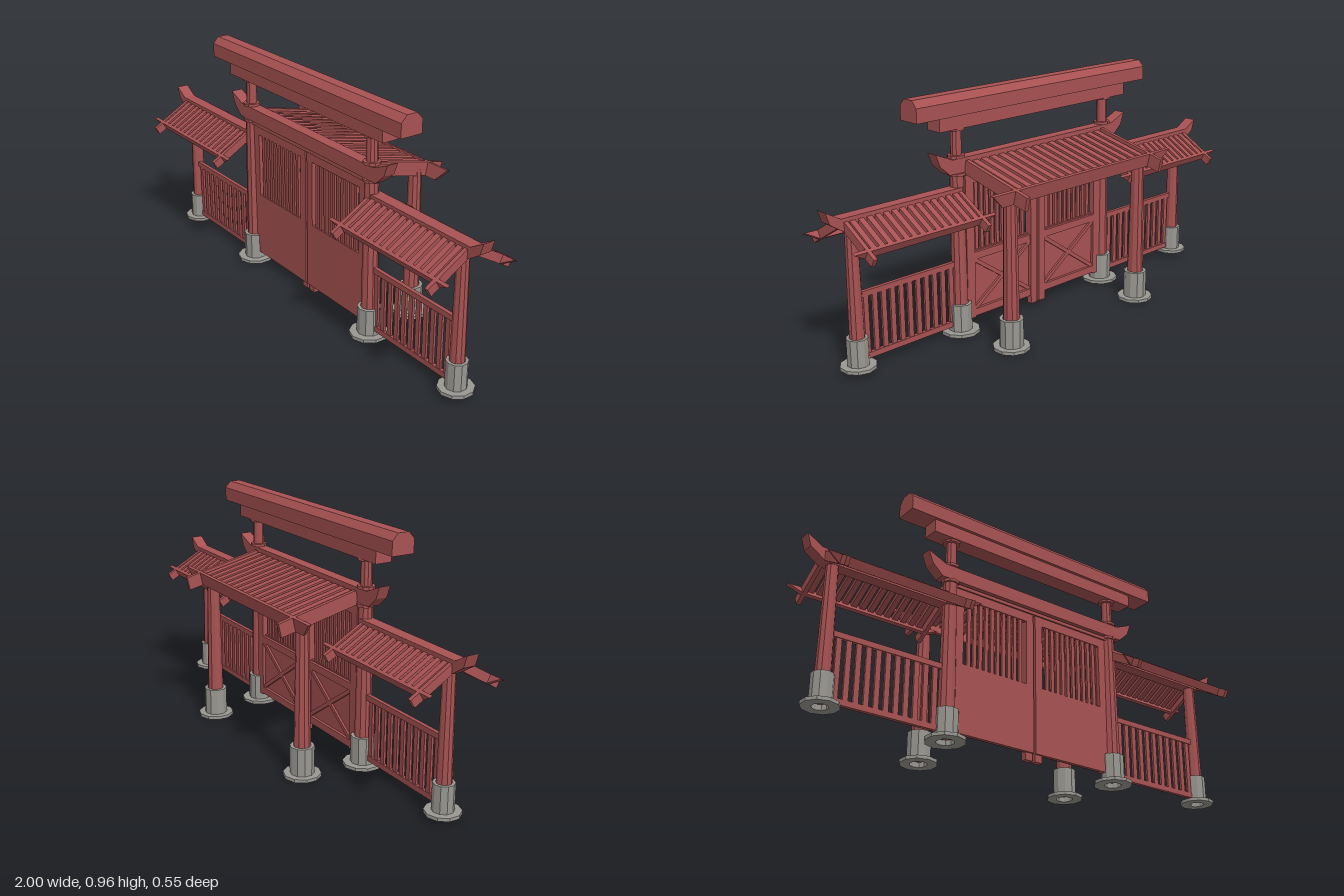
import * as THREE from 'three';

const red = new THREE.MeshStandardMaterial({ color: 0xa85252, flatShading: true });
const stone = new THREE.MeshStandardMaterial({ color: 0x9a9892, flatShading: true });
const Z = 0.0865; // the gate line

function add(parent, name, geo, x = 0, y = 0, z = 0, mat = red) {
  const m = new THREE.Mesh(geo, mat);
  m.name = name;
  m.position.set(x, y, z);
  parent.add(m);
  return m;
}

// box given by its ranges in x and y, centred on z
function slab(parent, name, x0, x1, y0, y1, z, depth) {
  return add(parent, name, new THREE.BoxGeometry(Math.abs(x1 - x0), y1 - y0, depth), (x0 + x1) / 2, (y0 + y1) / 2, z);
}

// extruded outline, centred in depth
function outline(pts, depth, hole) {
  const shape = new THREE.Shape(pts.map(p => new THREE.Vector2(...p)));
  if (hole) shape.holes.push(new THREE.Path(hole.map(p => new THREE.Vector2(...p))));
  return new THREE.ExtrudeGeometry(shape, { depth, bevelEnabled: false }).translate(0, 0, -depth / 2);
}

const rect = (x0, x1, y0, y1) => [[x0, y0], [x1, y0], [x1, y1], [x0, y1]];

// tapered post on a hollow stone footing
function post(parent, name, x, z, y0, y1, rBase, rDisc, rPost, rTop) {
  const g = new THREE.Group();
  g.name = name;
  g.position.set(x, 0, z);
  parent.add(g);
  const inner = rBase * 0.72;
  const profile = [[inner, 0], [rDisc, 0], [rDisc, 0.013], [rBase, 0.013], [rBase, 0.123 - y0 * 0.3], [inner, 0.123 - y0 * 0.3], [inner, 0]];
  add(g, 'footing', new THREE.LatheGeometry(profile.map(p => new THREE.Vector2(...p)), 10), 0, y0, 0, stone);
  add(g, 'shaft', new THREE.CylinderGeometry(rTop, rPost, y1 - y0 - 0.02, 10), 0, (y0 + 0.02 + y1) / 2, 0);
  return g;
}

// one sloping roof side: slats, two end rafters and an eave beam with pointed ends
// s = +1 falls to the front, -1 to the back
function roofSlope(parent, name, s, o) {
  const pivot = new THREE.Group();
  pivot.name = name;
  pivot.position.set(o.x, o.y, o.z);
  pivot.rotation.x = s * o.angle;
  parent.add(pivot);
  const pitch = 2 * o.half / o.count;
  for (let i = 0; i < o.count; i++) {
    add(pivot, 'slat', new THREE.BoxGeometry(pitch * 0.64, o.slat, o.eave), -o.half + (i + 0.5) * pitch, o.lift, s * o.eave / 2);
  }
  for (const k of [-1, 1]) {
    add(pivot, 'rafter', new THREE.BoxGeometry(0.016, o.thick, o.length), k * o.rafter, 0, s * o.length / 2);
  }
  const t = o.thick / 2, e = o.eaveHalf;
  add(pivot, 'eaveBeam', outline([[-e + 0.055, -t], [e - 0.055, -t], [e, t], [-e, t]], 0.013), 0, 0, s * o.eave);
}

// door leaf on the +x side of its own group
function doorLeaf(parent, k) {
  const leaf = new THREE.Group();
  leaf.name = k > 0 ? 'leftDoor' : 'rightDoor';
  leaf.position.z = Z;
  parent.add(leaf);
  const X = v => k * v;
  const [a, b] = [X(0.005), X(0.375)].sort((p, q) => p - q);
  const [c, d] = [X(0.04), X(0.338)].sort((p, q) => p - q);
  add(leaf, 'panel', outline(rect(a, b, 0.05, 0.635), 0.016, rect(c, d, 0.325, 0.595)));
  const n = 11, step = (d - c) / n;
  for (let i = 1; i < n; i++) slab(leaf, 'windowBar', c + i * step - 0.008, c + i * step + 0.008, 0.32, 0.6, 0, 0.01);
  slab(leaf, 'centreStile', X(0.006), X(0.04), 0.02, 0.635, -0.012, 0.024);
  slab(leaf, 'outerStile', X(0.335), X(0.375), 0.05, 0.635, -0.014, 0.012);
  for (const y of [0.055, 0.29, 0.6]) slab(leaf, 'rail', X(0.04), X(0.335), y, y + 0.03, -0.014, 0.012);
  // crossed braces on the back
  const w = 0.295, h = 0.205;
  for (const q of [-1, 1]) {
    const brace = add(leaf, 'brace', new THREE.BoxGeometry(Math.hypot(w, h), 0.016, 0.009), X(0.1875), 0.1875, -0.0125);
    brace.rotation.z = q * Math.atan2(h, w);
  }
}

function wing(parent, k) {
  const g = new THREE.Group();
  g.name = k > 0 ? 'leftWing' : 'rightWing';
  parent.add(g);
  post(g, 'outerPost', k * 0.887, Z - 0.004, 0.018, 0.56, 0.041, 0.068, 0.03, 0.023);

  // fence
  slab(g, 'fenceTopRail', k * 0.42, k * 0.87, 0.28, 0.302, Z, 0.016);
  slab(g, 'fenceBottomRail', k * 0.42, k * 0.87, 0.038, 0.06, Z, 0.016);
  const n = 11, step = 0.43 / n;
  for (let i = 0; i < n; i++) {
    const x = k * (0.43 + (i + 0.5) * step);
    slab(g, 'fenceBar', x - 0.0105, x + 0.0105, 0.05, 0.29, Z, 0.01);
  }

  // ridge beam with an upturned outer end
  const ridge = [[0.4, 0.545], [0.925, 0.545], [0.985, 0.585], [1, 0.632], [0.94, 0.597], [0.4, 0.597]].map(p => [k * p[0], p[1]]);
  add(g, 'ridgeBeam', outline(ridge, 0.05), 0, 0, Z - 0.005);

  const roof = { x: k * 0.667, y: 0.579, z: Z - 0.004, angle: Math.PI / 6, half: 0.245, count: 14, slat: 0.016, lift: 0.008,
    thick: 0.034, length: 0.21, eave: 0.164, rafter: 0.254, eaveHalf: 0.315 };
  roofSlope(g, 'frontRoof', 1, roof);
  roofSlope(g, 'backRoof', -1, roof);
}

export function createModel() {
  const model = new THREE.Group();
  model.name = 'gate';

  const gate = new THREE.Group();
  gate.name = 'mainGate';
  gate.position.x = 0.005;
  model.add(gate);

  for (const k of [-1, 1]) {
    // tall front posts with collars
    const p = post(gate, 'mainPost', k * 0.4, Z, 0.006, 0.65, 0.047, 0.077, 0.034, 0.027);
    add(p, 'upperShaft', new THREE.CylinderGeometry(0.021, 0.023, 0.19, 10), 0, 0.735, 0);
    for (const y of [0.646, 0.714, 0.82]) add(p, 'collar', new THREE.CylinderGeometry(0.034, 0.034, 0.011, 10), 0, y, 0);
    post(gate, 'rearPost', k * 0.355, -0.158, 0, 0.615, 0.047, 0.073, 0.034, 0.025);
    doorLeaf(gate, k);
    wing(model, k);
  }
  slab(gate, 'lintel', -0.39, 0.39, 0.632, 0.646, Z, 0.03);

  // cross beam with upturned ends
  const half = [[0.45, 0.652], [0.495, 0.692], [0.515, 0.742], [0.435, 0.708]];
  const beam = [...half, ...half.slice().reverse().map(p => [-p[0], p[1]])];
  add(gate, 'crossBeam', outline(beam, 0.048), 0, 0, Z);

  // top beams
  slab(gate, 'underBeam', -0.5, 0.5, 0.823, 0.876, Z + 0.002, 0.07);
  const cap = outline([[-0.047, 0.875], [0.047, 0.875], [0.047, 0.93], [0.023, 0.956], [-0.023, 0.956], [-0.047, 0.93]], 1.222);
  add(gate, 'topBeam', cap, 0, 0, Z + 0.002).rotation.y = Math.PI / 2;

  // lean-to roof behind the gate
  roofSlope(gate, 'rearRoof', -1, { x: 0, y: 0.671, z: 0.063, angle: 0.227, half: 0.355, count: 16, slat: 0.018, lift: 0.012,
    thick: 0.055, length: 0.338, eave: 0.272, rafter: 0.37, eaveHalf: 0.485 });

  return model;
}
